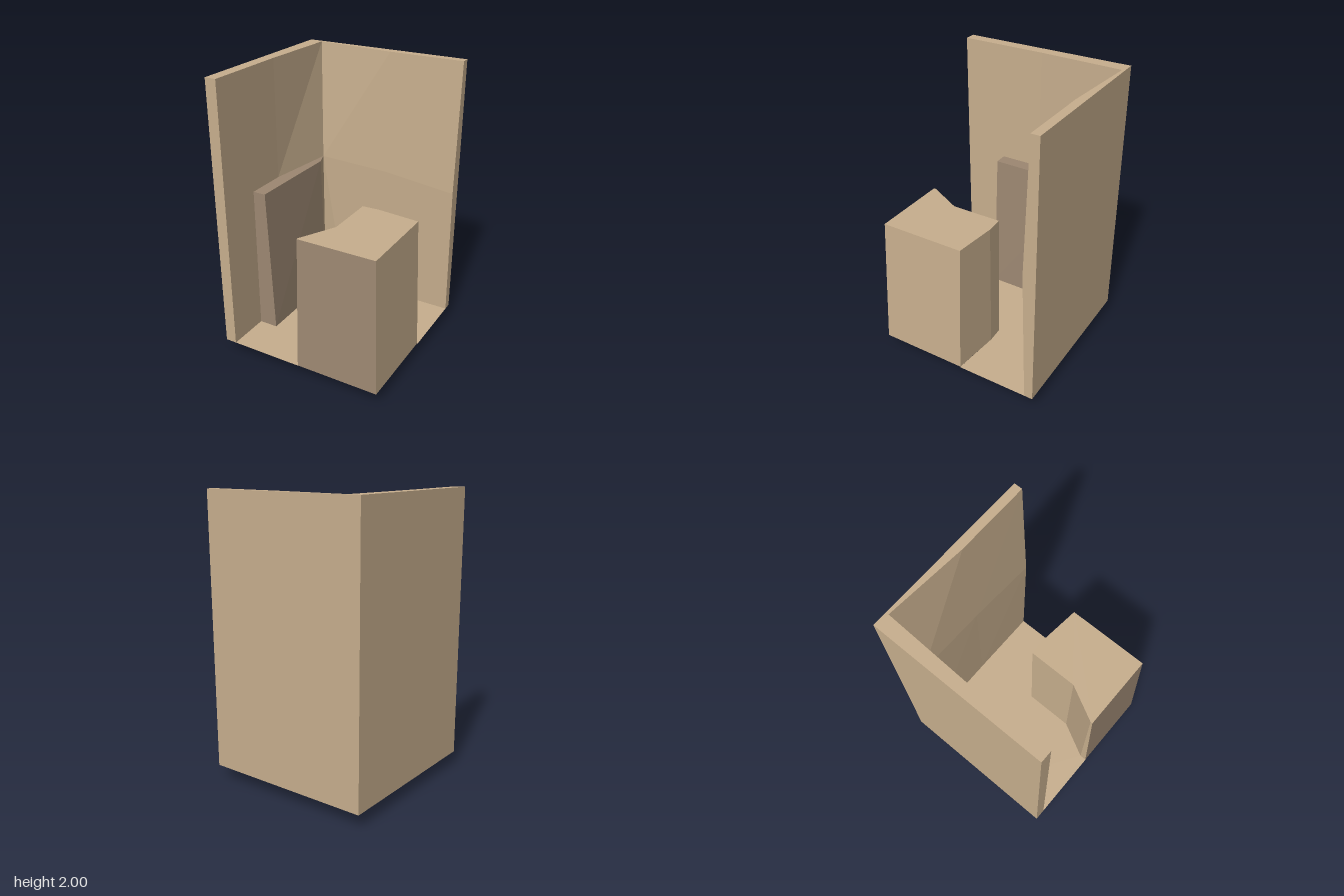
import * as THREE from 'three';

const TAN = 0xc8af8e, BROWN = 0x9d8872, BLACK = 0x050505;

function addMesh(group, name, color, positions) {
  const geo = new THREE.BufferGeometry();
  geo.setAttribute('position', new THREE.Float32BufferAttribute(positions, 3));
  geo.computeVertexNormals();
  const mat = new THREE.MeshStandardMaterial({ color, side: THREE.DoubleSide });
  const mesh = new THREE.Mesh(geo, mat);
  mesh.name = name;
  group.add(mesh);
}

// Turn an outline of [x, z] pairs into a ring of [x, y, z] points
const ring = (y, outline) => outline.map(([x, z]) => [x, y, z]);

// Wall strips between stacked rings; `edges` picks which sides to build.
// Outlines run counter-clockwise seen from above, so faces point outward.
function sides(rings, edges) {
  const out = [];
  const n = rings[0].length;
  for (let r = 0; r < rings.length - 1; r++) {
    for (const i of edges ?? rings[0].keys()) {
      const j = (i + 1) % n;
      const a = rings[r][i], b = rings[r][j], c = rings[r + 1][j], d = rings[r + 1][i];
      out.push(...a, ...b, ...c, ...a, ...c, ...d);
    }
  }
  return out;
}

// Flat polygon filling a ring, facing up or down
function cap(points, up = true) {
  const flat = points.map(([x, , z]) => new THREE.Vector2(x, -z));
  const out = [];
  for (const [a, b, c] of THREE.ShapeUtils.triangulateShape(flat, [])) {
    const p = flat[a], q = flat[b], s = flat[c];
    const ccw = (q.x - p.x) * (s.y - p.y) - (q.y - p.y) * (s.x - p.x) > 0;
    for (const k of ccw === up ? [a, b, c] : [a, c, b]) out.push(...points[k]);
  }
  return out;
}

export function createModel() {
  const model = new THREE.Group();
  model.name = 'cornerRoom';

  // L-shaped pair of walls, bulging inward at mid height
  const wallRing = (cx, cz, back, ys) => [
    [-0.6, ys[0], 0.6], [-0.52, ys[0], 0.6], [-0.52, ys[0], 0], [cx, ys[0], cz],
    [0.07, ys[1], back], [0.6, ys[2], back], [0.6, ys[2], -0.6], [-0.6, ys[0], -0.6],
  ];
  const walls = [
    wallRing(-0.455, -0.535, -0.54, [0.1, 0.1, 0.1]),
    wallRing(-0.455, -0.51, -0.51, [1.15, 1.13, 1.07]),
    wallRing(-0.5, -0.58, -0.54, [2, 2, 2]),
  ];
  addMesh(model, 'walls', TAN, [...sides(walls), ...cap(walls[2])]);

  // Floor, cut away beneath the cabinet and the block
  addMesh(model, 'floor', TAN, cap(ring(0.1, [
    [-0.52, 0.6], [0, 0.6], [0, 0.55], [0.13, 0.3], [0.13, -0.06], [0.25, -0.065],
    [0.6, -0.03], [0.6, -0.6], [-0.29, -0.6], [-0.29, -0.535], [-0.385, -0.41], [-0.385, 0.295],
    [-0.52, 0.295],
  ])));

  // Cabinet along the left-hand wall, with a slanted filler behind it
  const cabinet = [
    ring(0.1, [[-0.52, 0.295], [-0.385, 0.295], [-0.385, -0.41], [-0.29, -0.535], [-0.52, -0.535]]),
    ring(1.15, [[-0.52, 0.295], [-0.428, 0.295], [-0.418, -0.41], [-0.455, -0.51], [-0.52, -0.51]]),
  ];
  addMesh(model, 'cabinet', BROWN, [...sides(cabinet, [0, 1]), ...cap(cabinet[1])]);
  addMesh(model, 'cornerFiller', TAN, sides(cabinet, [2]));

  // Notched block at the front, open underneath
  const block = [
    ring(0.1, [[0, 0.598], [0.595, 0.598], [0.595, -0.03], [0.25, -0.065], [0.13, -0.06], [0.13, 0.3], [0, 0.55]]),
    ring(1.05, [[0, 0.565], [0.555, 0.565], [0.555, -0.034], [0.25, -0.065], [0.13, -0.06], [0.13, 0.3], [0, 0.55]]),
  ];
  addMesh(model, 'blockFront', BROWN, sides(block, [0]));
  addMesh(model, 'blockBody', TAN, [...sides(block, [1, 2, 3, 4, 5, 6]), ...cap(block[1])]);

  // Shallow tapered foot under the floor
  const foot = [
    ring(0, [[-0.37, 0.285], [0.11, 0.285], [0.11, -0.085], [0.22, -0.085], [0.22, -0.42], [-0.37, -0.42]]),
    ring(0.1, [[-0.38, 0.3], [0.13, 0.3], [0.13, -0.06], [0.26, -0.06], [0.26, -0.41], [-0.38, -0.41]]),
  ];
  addMesh(model, 'footSides', BROWN, sides(foot));
  addMesh(model, 'footBase', BLACK, cap(foot[0], false));

  return model;
}
